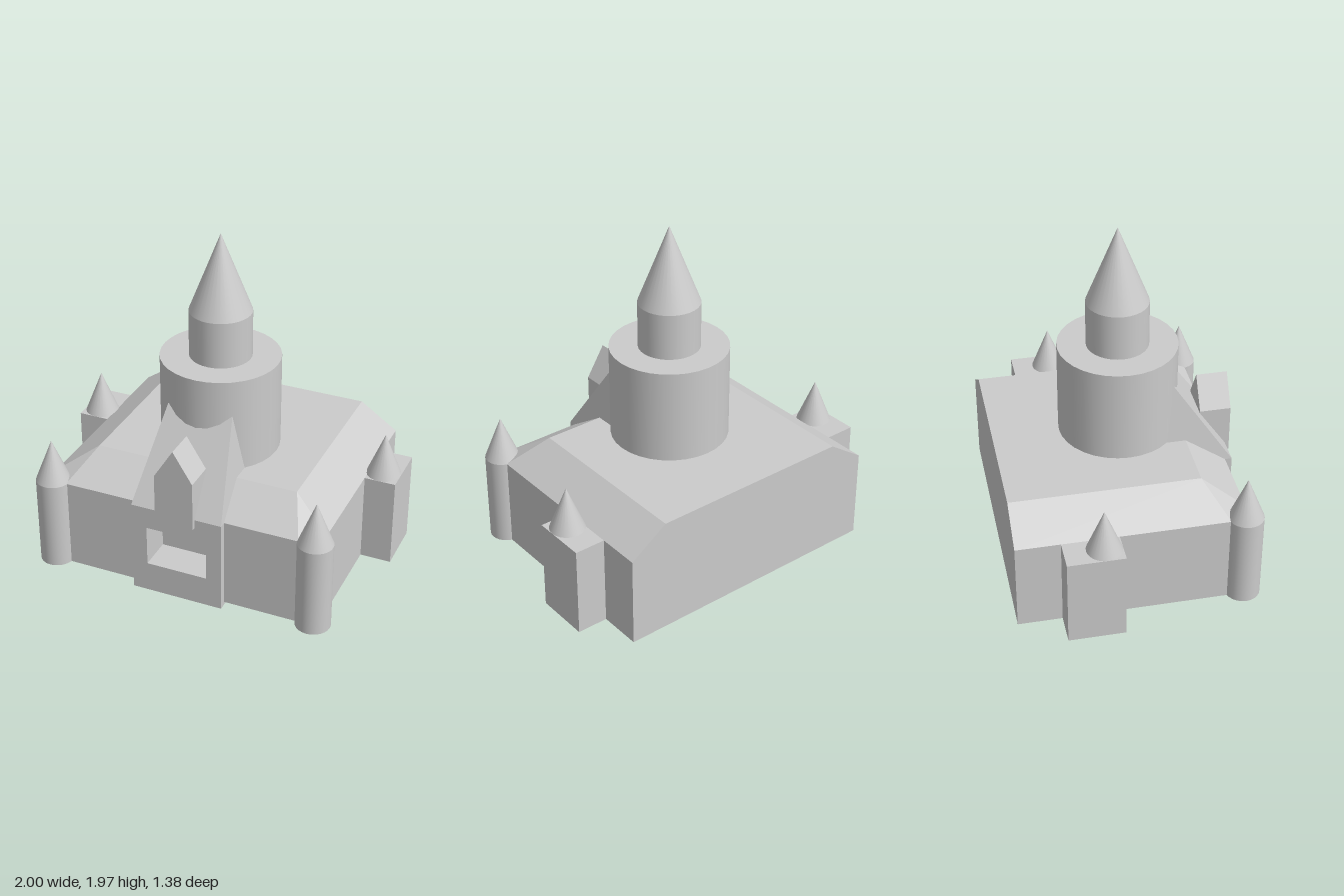
import * as THREE from 'three';

const material = new THREE.MeshStandardMaterial({ color: 0xcccccc });
const thinMaterial = new THREE.MeshStandardMaterial({ color: 0xcccccc, side: THREE.DoubleSide });

function add(parent, name, geometry, x = 0, y = 0, z = 0, mat = material) {
  const mesh = new THREE.Mesh(geometry, mat);
  mesh.name = name;
  mesh.position.set(x, y, z);
  parent.add(mesh);
  return mesh;
}

const shapeOf = points => new THREE.Shape(points.map(([x, y]) => new THREE.Vector2(x, y)));
const rect = (x0, y0, x1, y1) => [[x0, y0], [x1, y0], [x1, y1], [x0, y1]];

function extrude(outline, depth, hole) {
  const shape = shapeOf(outline);
  if (hole) shape.holes.push(shapeOf(hole));
  return new THREE.ExtrudeGeometry(shape, { depth, bevelEnabled: false });
}

// Extrude a plan given as [x, z] upwards
function extrudeUp(plan, height, hole) {
  const flip = pts => pts.map(([x, z]) => [x, -z]);
  return extrude(flip(plan), height, hole && flip(hole)).rotateX(-Math.PI / 2);
}

// Mirror half a plan, listed from back to front at -x, to a full outline
const mirrored = half => [...half, ...half.map(([x, z]) => [-x, z]).reverse()];

// Faceted shell between two plan outlines, closed on top and open below
function loft(bottom, y0, top, y1) {
  const n = bottom.length, positions = [], index = [];
  bottom.forEach(([x, z]) => positions.push(x, y0, z));
  top.forEach(([x, z]) => positions.push(x, y1, z));
  for (let i = 0; i < n; i++) {
    const j = (i + 1) % n;
    index.push(i, j, n + j, i, n + j, n + i);
    if (i > 1) index.push(n, n + i - 1, n + i);
  }
  const indexed = new THREE.BufferGeometry();
  indexed.setAttribute('position', new THREE.Float32BufferAttribute(positions, 3));
  indexed.setIndex(index);
  const geometry = indexed.toNonIndexed();
  geometry.computeVertexNormals();
  return geometry;
}

export function createModel() {
  const castle = new THREE.Group();
  castle.name = 'castle';

  // Walls with side bays, a notch for the gatehouse and a hollow underside
  const plan = mirrored([
    [-0.82, -0.69], [-0.82, -0.44], [-1, -0.44], [-1, -0.12], [-0.82, -0.12],
    [-0.82, 0.61], [-0.27, 0.61], [-0.27, 0.43],
  ]);
  const cavity = rect(-0.6, -0.66, 0.6, 0.38);
  add(castle, 'walls', extrudeUp(plan, 0.53, cavity), 0, 0.02, 0);
  add(castle, 'cavityLining', extrudeUp(rect(-0.61, -0.68, 0.61, 0.39), 0.14, cavity), 0, 0.55, 0);

  // Main roof: flat top, sloping front and sides, upright back
  const eaves = mirrored([[-0.82, -0.69], [-0.82, 0.5], [-0.7, 0.61]]);
  const ridge = mirrored([[-0.6, -0.69], [-0.6, 0.38], [-0.6, 0.38]]);
  add(castle, 'mainRoof', loft(eaves, 0.55, ridge, 0.7), 0, 0, 0, thinMaterial);

  // Central tower
  const tower = new THREE.Group();
  tower.name = 'centralTower';
  tower.position.z = 0.035;
  castle.add(tower);
  add(tower, 'keep', new THREE.CylinderGeometry(0.34, 0.34, 1.17, 32), 0, 0.665, 0);
  add(tower, 'turret', new THREE.CylinderGeometry(0.177, 0.177, 0.27, 32), 0, 1.385, 0);
  add(tower, 'spire', new THREE.ConeGeometry(0.177, 0.45, 32), 0, 1.745, 0);

  // Gatehouse with a recessed opening
  const gatehouse = new THREE.Group();
  gatehouse.name = 'gatehouse';
  castle.add(gatehouse);
  add(gatehouse, 'gateFront',
    extrude(rect(-0.27, 0, 0.27, 0.55), 0.2, rect(-0.18, 0.18, 0.18, 0.42)), 0, 0, 0.45);
  add(gatehouse, 'gateBack', new THREE.BoxGeometry(0.54, 0.55, 0.02), 0, 0.275, 0.44);
  add(gatehouse, 'gateRoof', loft(
    mirrored([[-0.27, 0.1], [-0.27, 0.65]]), 0.55,
    mirrored([[-0.19, 0.1], [-0.19, 0.31]]), 1.05), 0, 0, 0, thinMaterial);
  add(gatehouse, 'dormer',
    extrude([[-0.113, 0.5], [0.113, 0.5], [0.113, 0.79], [0, 0.97], [-0.113, 0.79]], 0.18), 0, 0, 0.495);

  // Corner turrets and the small spires on the side bays
  for (const [side, s] of [['left', 1], ['right', -1]]) {
    add(castle, side + 'Turret', new THREE.CylinderGeometry(0.1, 0.1, 0.53, 24), s * 0.79, 0.285, 0.59);
    add(castle, side + 'TurretSpire', new THREE.ConeGeometry(0.1, 0.25, 24), s * 0.79, 0.675, 0.59);
    add(castle, side + 'BaySpire', new THREE.ConeGeometry(0.1, 0.25, 24), s * 0.9, 0.675, -0.22);
  }
  return castle;
}
